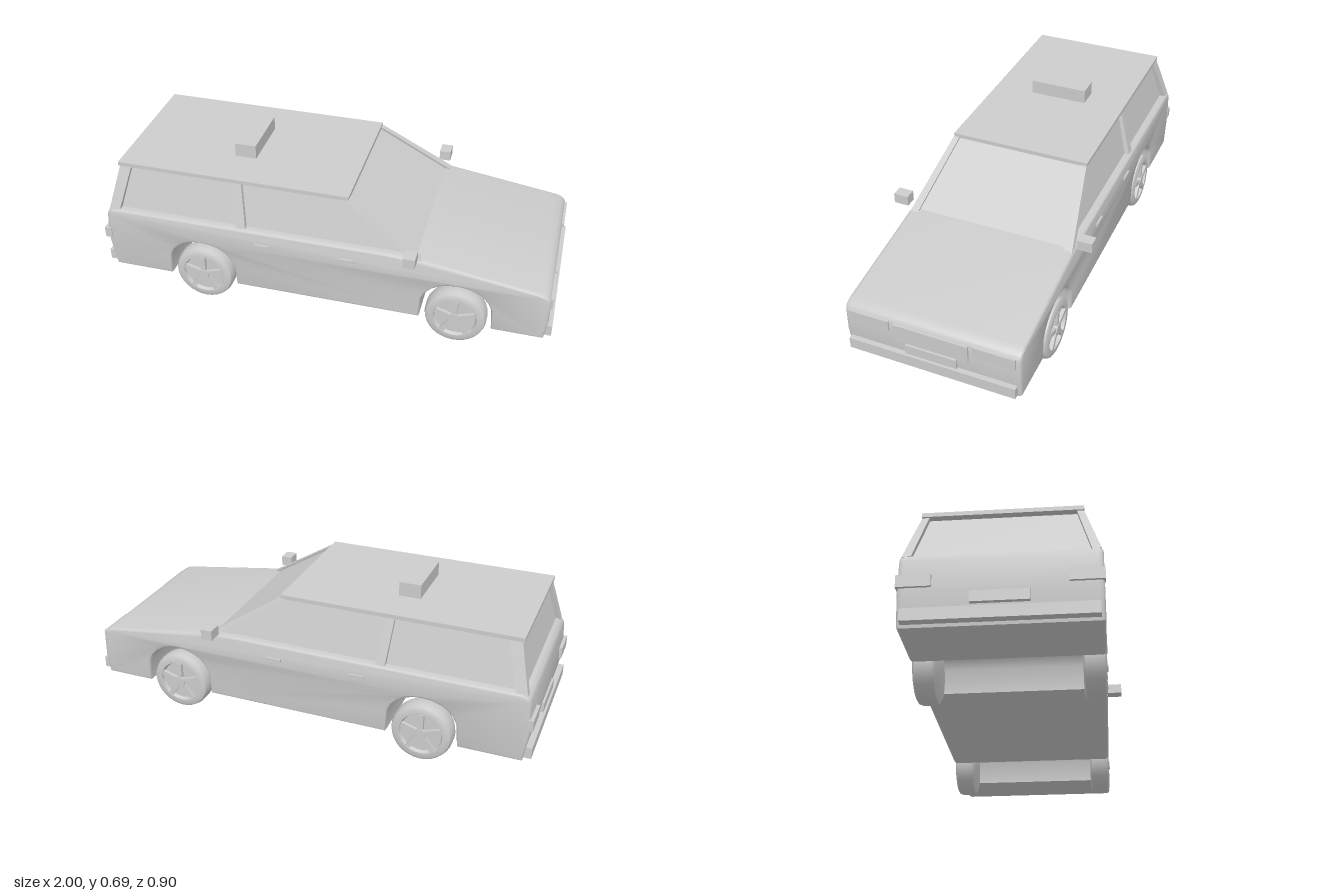
import * as THREE from 'three';
import { toCreasedNormals } from 'three/addons/utils/BufferGeometryUtils.js';

const grey = new THREE.MeshStandardMaterial({ color: 0xcccccc });
grey.name = 'light grey';

function add(parent, name, geometry) {
  const mesh = new THREE.Mesh(geometry, grey);
  mesh.name = name;
  parent.add(mesh);
  return mesh;
}

// Box given by its limits on each axis
function block(parent, name, [x0, x1], [y0, y1], [z0, z1]) {
  const g = new THREE.BoxGeometry(x1 - x0, y1 - y0, z1 - z0);
  g.translate((x0 + x1) / 2, (y0 + y1) / 2, (z0 + z1) / 2);
  return add(parent, name, g);
}

// Box blended between a lower and an upper rectangle [x0, x1, z0, z1]
function loft(parent, name, y0, low, y1, high) {
  const g = new THREE.BoxGeometry(1, 1, 1);
  const p = g.attributes.position;
  for (let i = 0; i < p.count; i++) {
    const r = p.getY(i) > 0 ? high : low;
    p.setXYZ(i, p.getX(i) > 0 ? r[1] : r[0], p.getY(i) > 0 ? y1 : y0, p.getZ(i) > 0 ? r[3] : r[2]);
  }
  g.computeVertexNormals();
  return add(parent, name, g);
}

// Limits on z for one side of the car
const side = (s, a, b) => (s > 0 ? [a, b] : [-b, -a]);

const WHEELS = [-0.54, 0.595];

function bodyGeometry() {
  const s = new THREE.Shape();
  s.moveTo(-0.965, 0.107);
  // Underside with a wheel arch running across the car at each axle
  for (const c of WHEELS) {
    s.lineTo(c - 0.155, 0.107);
    s.lineTo(c - 0.148, 0.21);
    s.bezierCurveTo(c - 0.11, 0.335, c + 0.11, 0.335, c + 0.148, 0.21);
    s.lineTo(c + 0.155, 0.107);
  }
  // Nose, bonnet, waistline and tail
  s.lineTo(0.97, 0.107);
  s.lineTo(0.982, 0.2);
  s.lineTo(0.98, 0.3);
  s.quadraticCurveTo(0.975, 0.332, 0.93, 0.34);
  s.lineTo(0.43, 0.412);
  s.lineTo(0.3, 0.418);
  s.lineTo(-0.94, 0.416);
  s.quadraticCurveTo(-0.972, 0.412, -0.978, 0.38);
  s.lineTo(-0.987, 0.25);
  s.closePath();
  const g = new THREE.ExtrudeGeometry(s, {
    depth: 0.72, curveSegments: 10, bevelEnabled: true,
    bevelThickness: 0.016, bevelSize: 0.012, bevelOffset: -0.012, bevelSegments: 3,
  });
  g.translate(0, 0, -0.36);
  return toCreasedNormals(g, 0.6);
}

function wheel(name) {
  const group = new THREE.Group();
  group.name = name;
  // Tyre with a recessed rim on its outer face
  const profile = [
    [0, -0.045], [0.115, -0.045], [0.127, -0.038], [0.133, -0.02], [0.133, 0.02],
    [0.127, 0.038], [0.115, 0.045], [0.094, 0.045], [0.088, 0.03], [0, 0.03],
  ].map(([r, y]) => new THREE.Vector2(r, y));
  const tyre = new THREE.LatheGeometry(profile, 32);
  tyre.rotateX(Math.PI / 2);
  add(group, 'tyre', toCreasedNormals(tyre, 0.6));
  // Five spokes around a hub
  for (let i = 0; i < 5; i++) {
    const spoke = new THREE.BoxGeometry(0.022, 0.082, 0.018);
    spoke.translate(0, 0.05, 0.037);
    spoke.rotateZ((i * Math.PI * 2) / 5);
    add(group, 'spoke', spoke);
  }
  const hub = new THREE.CylinderGeometry(0.024, 0.024, 0.02, 16);
  hub.rotateX(Math.PI / 2);
  hub.translate(0, 0, 0.04);
  add(group, 'hub', hub);
  return group;
}

export function createModel() {
  const car = new THREE.Group();
  car.name = 'estateCar';

  add(car, 'body', bodyGeometry());

  // Cabin
  loft(car, 'windows', 0.405, [-0.945, 0.425, -0.345, 0.345], 0.612, [-0.89, 0.105, -0.292, 0.292]);
  block(car, 'roof', [-0.92, 0.112], [0.61, 0.628], [-0.31, 0.31]);
  block(car, 'roofBox', [-0.445, -0.35], [0.628, 0.69], [-0.13, 0.13]);

  for (const s of [1, -1]) {
    // Pillars
    loft(car, 'windscreenPillar', 0.408, [0.4, 0.44, ...side(s, 0.335, 0.37)],
      0.615, [0.085, 0.12, ...side(s, 0.282, 0.309)]);
    loft(car, 'middlePillar', 0.408, [-0.372, -0.33, ...side(s, 0.335, 0.366)],
      0.612, [-0.392, -0.357, ...side(s, 0.282, 0.308)]);
    loft(car, 'rearPillar', 0.408, [-0.963, -0.915, ...side(s, 0.335, 0.37)],
      0.612, [-0.912, -0.86, ...side(s, 0.282, 0.309)]);

    // Side fittings
    block(car, 'mirror', [0.375, 0.425], [0.425, 0.47], side(s, 0.385, 0.45));
    for (const x of [-0.255, 0.12]) {
      block(car, 'doorHandle', [x - 0.033, x + 0.033], [0.345, 0.357], side(s, 0.37, 0.384));
    }

    // Lamps
    block(car, 'headlight', [0.96, 0.988], [0.26, 0.31], side(s, 0.18, 0.355));
    block(car, 'tailLight', [-0.997, -0.965], [0.26, 0.31], side(s, 0.25, 0.38));

    // Wheels
    for (const x of WHEELS) {
      const w = wheel(x > 0 ? 'frontWheel' : 'rearWheel');
      w.position.set(x, 0.1335, s * 0.33);
      if (s < 0) w.rotation.y = Math.PI;
      car.add(w);
    }
  }

  // Nose and tail fittings
  block(car, 'grille', [0.96, 0.99], [0.226, 0.305], [-0.16, 0.16]);
  block(car, 'frontPlate', [0.96, 0.992], [0.174, 0.217], [-0.11, 0.11]);
  block(car, 'frontBumper', [0.95, 1], [0.12, 0.17], [-0.36, 0.36]);
  block(car, 'rearPlate', [-0.994, -0.96], [0.19, 0.235], [-0.11, 0.11]);
  block(car, 'rearBumper', [-1, -0.95], [0.12, 0.17], [-0.36, 0.36]);

  return car;
}
